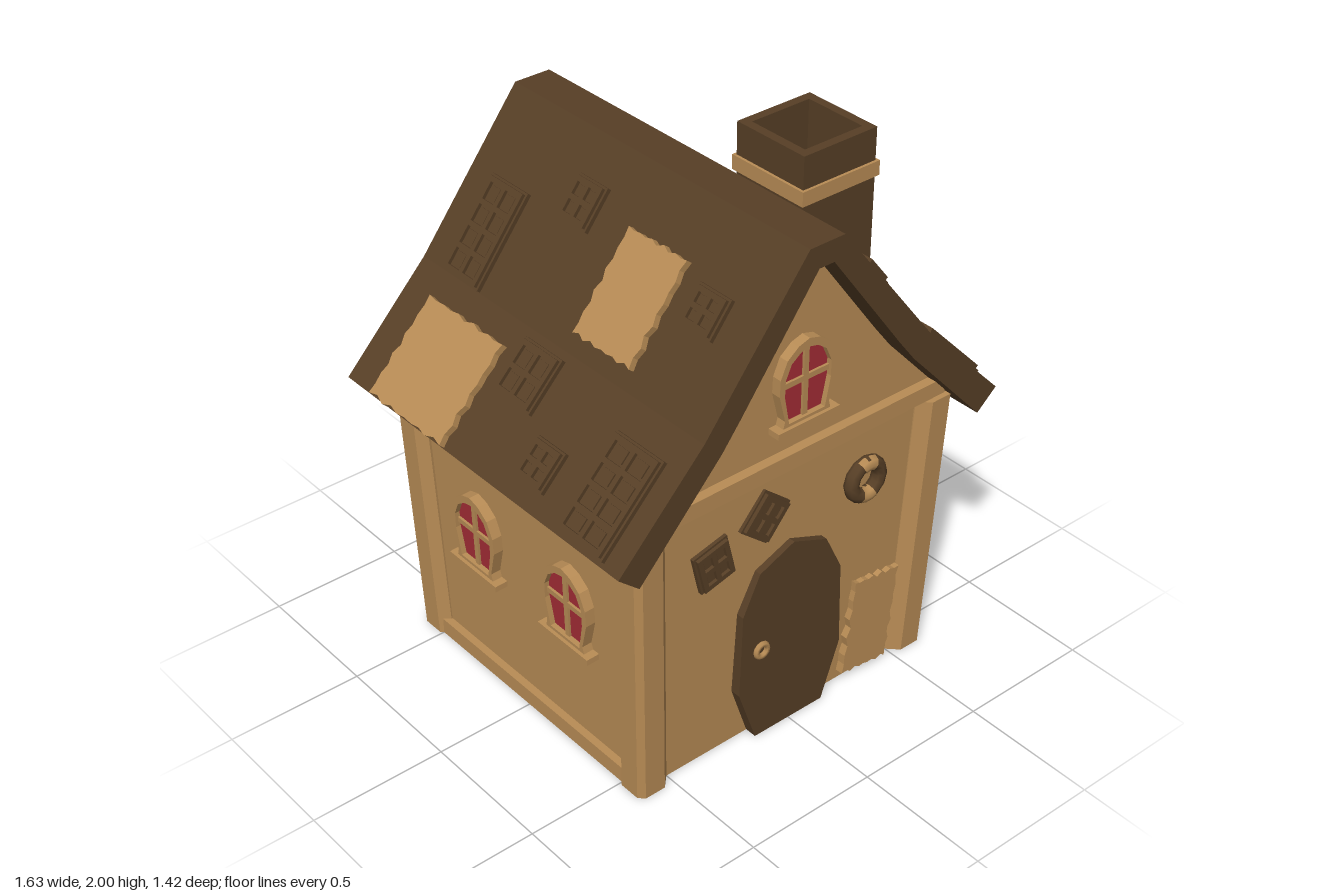
import * as THREE from 'three';

const flat = (name, color) => {
  const m = new THREE.MeshStandardMaterial({ color });
  m.name = name;
  return m;
};
const tan = flat('tan wood', 0xb88c55);
const dark = flat('dark brown wood', 0x573f26);
const red = flat('red glass', 0xa32c35);

function mesh(name, geometry, material, x = 0, y = 0, z = 0) {
  const m = new THREE.Mesh(geometry, material);
  m.name = name;
  m.position.set(x, y, z);
  return m;
}
const box = (w, h, d) => new THREE.BoxGeometry(w, h, d);
const vecs = (pts) => pts.map(([x, y]) => new THREE.Vector2(x, y));
const mirrored = (pts) => [...pts, ...pts.slice().reverse().filter((p) => p[0] > 0).map(([x, y]) => [-x, y])];
const rect = (x, y, w, h) => [[x - w / 2, y - h / 2], [x + w / 2, y - h / 2], [x + w / 2, y + h / 2], [x - w / 2, y + h / 2]];

function plate(pts, depth, holes = []) {
  const s = new THREE.Shape(vecs(pts));
  holes.forEach((h) => s.holes.push(new THREE.Path(vecs(h))));
  return new THREE.ExtrudeGeometry(s, { depth, bevelEnabled: false });
}

// Square frame lying flat, rising from y = 0
function squareTube(outer, inner, height) {
  return plate(rect(0, 0, outer, outer), height, [rect(0, 0, inner, inner)]).rotateX(-Math.PI / 2);
}

// Shingle with a raised grid of panes
function panedShingle(w, h, cols, rows) {
  const g = new THREE.Group();
  g.name = 'panedShingle';
  const fw = w - 0.016, fh = h - 0.016, bar = 0.018;
  const pw = (fw - bar * (cols + 1)) / cols, ph = (fh - bar * (rows + 1)) / rows;
  const holes = [];
  for (let i = 0; i < cols; i++) {
    for (let j = 0; j < rows; j++) {
      const x = -fw / 2 + bar + pw / 2 + i * (pw + bar), y = -fh / 2 + bar + ph / 2 + j * (ph + bar);
      holes.push(rect(x, y, pw, ph));
      g.add(mesh('shinglePane', box(pw * 0.7, ph * 0.75, 0.008), dark, x, y, 0.018));
    }
  }
  g.add(mesh('shingleBase', box(w, h, 0.016), dark, 0, 0, 0.008));
  g.add(mesh('shingleGrid', plate(rect(0, 0, fw, fh), 0.014, holes), dark, 0, 0, 0.015));
  return g;
}

// Board with ragged edges
function raggedBoard(w, h, depth) {
  const pts = [], n = 10, corners = rect(0, 0, w, h);
  corners.forEach(([x, y], k) => {
    const [x2, y2] = corners[(k + 1) % 4];
    for (let i = 0; i < n; i++) {
      const t = i / n, d = i ? (i % 2 ? 0.007 : -0.002) + 0.003 * Math.sin(i * 2.3 + k) : 0;
      const len = Math.hypot(x2 - x, y2 - y);
      pts.push([x + (x2 - x) * t - ((y2 - y) / len) * d, y + (y2 - y) * t + ((x2 - x) / len) * d]);
    }
  });
  return mesh('raggedBoard', plate(pts, depth), tan);
}

// Arched window with its sill at y = 0, facing +z
function archWindow() {
  const g = new THREE.Group();
  g.name = 'archWindow';
  const outer = mirrored([[0.1, 0], [0.092, 0.03], [0.118, 0.13], [0.116, 0.19], [0.09, 0.25], [0.045, 0.285], [0, 0.298]]);
  const inner = mirrored([[0.075, 0.015], [0.096, 0.12], [0.095, 0.18], [0.072, 0.232], [0.035, 0.259], [0, 0.267]]);
  g.add(mesh('windowFrame', plate(outer, 0.055, [inner]), tan, 0, 0, -0.02));
  g.add(mesh('windowGlass', plate(inner, 0.008), red, 0, 0, 0.008));
  g.add(mesh('windowUpright', box(0.02, 0.26, 0.02), tan, 0, 0.137, 0.015));
  g.add(mesh('windowCrossbar', box(0.19, 0.02, 0.02), tan, 0, 0.15, 0.015));
  g.add(mesh('windowSill', box(0.258, 0.022, 0.075), tan, 0, -0.007, 0.01));
  return g;
}

// Corner post that leans outward; sx and sz choose the corner
function cornerPost(sx, sz) {
  const section = [[0.5, 0.5], [0.605, 0.48], [0.64, 0.51], [0.64, 0.59], [0.62, 0.61], [0.54, 0.61], [0.5, 0.57]];
  let pts = section.map(([x, z]) => [x * sx, -z * sz]);
  if (sx * sz > 0) pts = pts.reverse();
  const geo = plate(pts, 1.05).rotateX(-Math.PI / 2);
  const p = geo.attributes.position;
  for (let i = 0; i < p.count; i++) {
    const lean = 0.033 * p.getY(i);
    p.setX(i, p.getX(i) + sx * lean);
    p.setZ(i, p.getZ(i) + sz * lean);
  }
  geo.computeVertexNormals();
  return mesh('cornerPost', geo, tan);
}

// Outer roof line from ridge to eave
const roofLine = [[0.07, 1.9], [0.47, 1.39], [0.8, 1.05]];

// Lay a part on the roof, given its x range (side s) and z range
function onRoof(s, x0, x1, z0, z1, thick, make) {
  const seg = (x0 + x1) / 2 < 0.48 ? 0 : 1;
  const [[ax, ay], [bx, by]] = [roofLine[seg], roofLine[seg + 1]];
  const len = Math.hypot(bx - ax, by - ay), c = (bx - ax) / len, si = (ay - by) / len;
  const end = x1 - thick * si, x = (x0 + end) / 2;
  const part = make(z1 - z0, (end - x0) / c);
  const basis = new THREE.Matrix4().makeBasis(
    new THREE.Vector3(0, 0, -s), new THREE.Vector3(-s * c, si, 0), new THREE.Vector3(s * si, c, 0));
  part.quaternion.setFromRotationMatrix(basis);
  part.position.set(s * x, ay - ((x - ax) * si) / c, (z0 + z1) / 2);
  return part;
}

export function createModel() {
  const house = new THREE.Group();
  house.name = 'cottage';

  // Walls widen slightly toward the top
  const walls = box(1.26, 1.06, 1.2);
  const p = walls.attributes.position;
  for (let i = 0; i < p.count; i++) {
    if (p.getY(i) < 0) p.setXYZ(i, Math.sign(p.getX(i)) * 0.6, p.getY(i), Math.sign(p.getZ(i)) * 0.57);
  }
  walls.computeVertexNormals();
  house.add(mesh('walls', walls, tan, 0, 0.53, 0));
  house.add(mesh('gable', plate(mirrored([[0.63, 1.06], [0.63, 1.09], [0.37, 1.39], [0.04, 1.84]]), 1.2), tan, 0, 0, -0.6));
  house.add(mesh('gableBeam', box(1.27, 0.06, 0.06), tan, 0, 1.09, 0.605));

  for (const sx of [1, -1]) {
    for (const sz of [1, -1]) house.add(cornerPost(sx, sz));
    house.add(mesh('baseBeam', box(0.06, 0.06, 1.0), tan, sx * 0.6, 0.03, 0));
    for (const z of [0.24, -0.25]) {
      const w = archWindow();
      w.position.set(sx * 0.615, 0.447, z);
      w.rotation.set(0.03, sx * Math.PI / 2, 0, 'YXZ');
      house.add(w);
    }
  }
  const gableWindow = archWindow();
  gableWindow.position.set(0.015, 1.227, 0.6);
  house.add(gableWindow);

  // Roof
  const under = [[0.72, 0.98], [0.4, 1.325], [0.33, 1.415], [0.03, 1.82]];
  const right = [...under.slice().reverse(), ...roofLine.slice().reverse()];
  const outline = [...right, ...right.slice().reverse().map(([x, y]) => [-x, y])];
  house.add(mesh('roof', plate(outline, 1.42), dark, 0, 0, -0.71));

  // Shingles: side, x range, z range, columns, rows
  const shingles = [[1, 0.155, 0.27, -0.34, -0.19, 2, 2], [1, 0.22, 0.325, 0.52, 0.66, 2, 2],
    [-1, 0.16, 0.28, -0.245, -0.1, 2, 2], [-1, 0.22, 0.33, 0.41, 0.555, 2, 2]];
  for (const s of [1, -1]) {
    shingles.push([s, 0.25, 0.492, -0.59, -0.4, 2, 4], [s, 0.49, 0.65, -0.115, 0.075, 2, 2],
      [s, 0.65, 0.772, 0.15, 0.29, 2, 2], [s, 0.545, 0.81, 0.41, 0.63, 2, 4]);
  }
  for (const [s, x0, x1, z0, z1, cols, rows] of shingles) {
    house.add(onRoof(s, x0, x1, z0, z1, 0.03, (w, h) => panedShingle(w, h, cols, rows)));
  }
  const boards = [[1, 0.535, 0.812, -0.56, -0.17], [1, 0.2, 0.415, -0.155, 0.055],
    [-1, 0.535, 0.815, -0.565, -0.17], [-1, 0.2, 0.45, 0.06, 0.335]];
  for (const [s, x0, x1, z0, z1] of boards) {
    house.add(onRoof(s, x0, x1, z0, z1, 0.025, (w, h) => raggedBoard(w, h, 0.025)));
  }

  // Chimney
  house.add(mesh('chimney', squareTube(0.305, 0.24, 0.62), dark, 0.325, 1.38, 0.265));
  house.add(mesh('chimneyBand', squareTube(0.325, 0.29, 0.052), tan, 0.325, 1.832, 0.265));

  // Door and ring handle
  const door = mirrored([[0.15, 0], [0.225, 0.215], [0.215, 0.54], [0.145, 0.685], [0, 0.745]]);
  house.add(mesh('door', plate(door, 0.065), dark, 0, 0.001, 0.55));
  house.add(mesh('doorHandle', new THREE.TorusGeometry(0.024, 0.011, 6, 12), tan, -0.135, 0.37, 0.62));

  // Ring on the front wall, with two tan bands
  const ring = new THREE.Group();
  ring.name = 'wallRing';
  ring.position.set(0.313, 0.848, 0.61);
  ring.add(mesh('ring', new THREE.TorusGeometry(0.063, 0.027, 8, 12), dark));
  for (const a of [Math.PI / 2, -Math.PI / 2]) {
    const band = mesh('ringBand', new THREE.TorusGeometry(0.061, 0.027, 8, 3, 0.9), tan, 0, 0, 0.003);
    band.rotation.z = a - 0.45;
    ring.add(band);
  }
  house.add(ring);

  // Loose shingles and a ragged board on the front wall
  for (const [x, y, turn] of [[-0.335, 0.815, 0.24], [-0.122, 0.9, -0.7]]) {
    const s = panedShingle(0.143, 0.157, 2, 2);
    s.position.set(x, y, 0.592);
    s.rotation.z = turn;
    house.add(s);
  }
  const frontBoard = raggedBoard(0.205, 0.375, 0.03);
  frontBoard.position.set(0.385, 0.212, 0.572);
  frontBoard.rotation.z = -0.12;
  house.add(frontBoard);

  return house;
}
